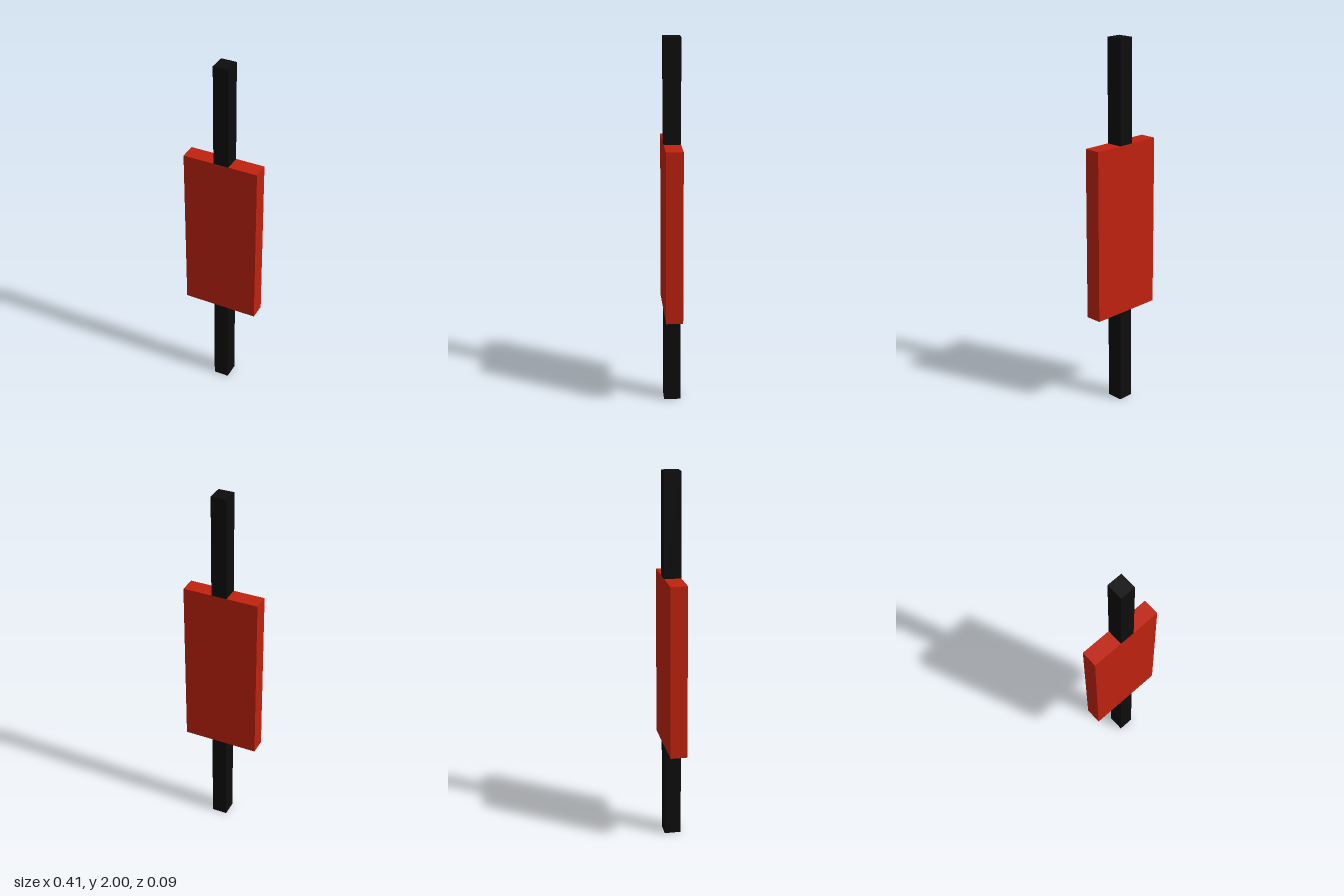
import * as THREE from 'three';

export function createModel() {
  const model = new THREE.Group();
  const mat = (name, color) => {
    const m = new THREE.MeshStandardMaterial({ color });
    m.name = name;
    return m;
  };
  const red = mat('red', 0xc0220f);
  const black = mat('black', 0x0d0d0d);
  const blue = mat('dark blue', 0x1808a8);

  const depth = 0.09;
  const slabBottom = 0.52, slabTop = 1.45;

  // Box spanning the given x and y ranges at the shared depth
  const bar = (name, x0, x1, y0, y1, material) => {
    const mesh = new THREE.Mesh(new THREE.BoxGeometry(x1 - x0, y1 - y0, depth), material);
    mesh.name = name;
    mesh.position.set((x0 + x1) / 2, (y0 + y1) / 2, 0);
    model.add(mesh);
  };

  // Wide central panel
  bar('panel', -0.206, 0.206, slabBottom, slabTop, red);

  // Square rods above and below, set slightly off centre
  bar('upperRod', -0.036, 0.048, slabTop, 2, black);
  // Box face order: +x, -x, +y, -y, +z, -z; the foot is blue
  bar('lowerRod', -0.036, 0.048, 0, slabBottom, [black, black, black, blue, black, black]);

  return model;
}
